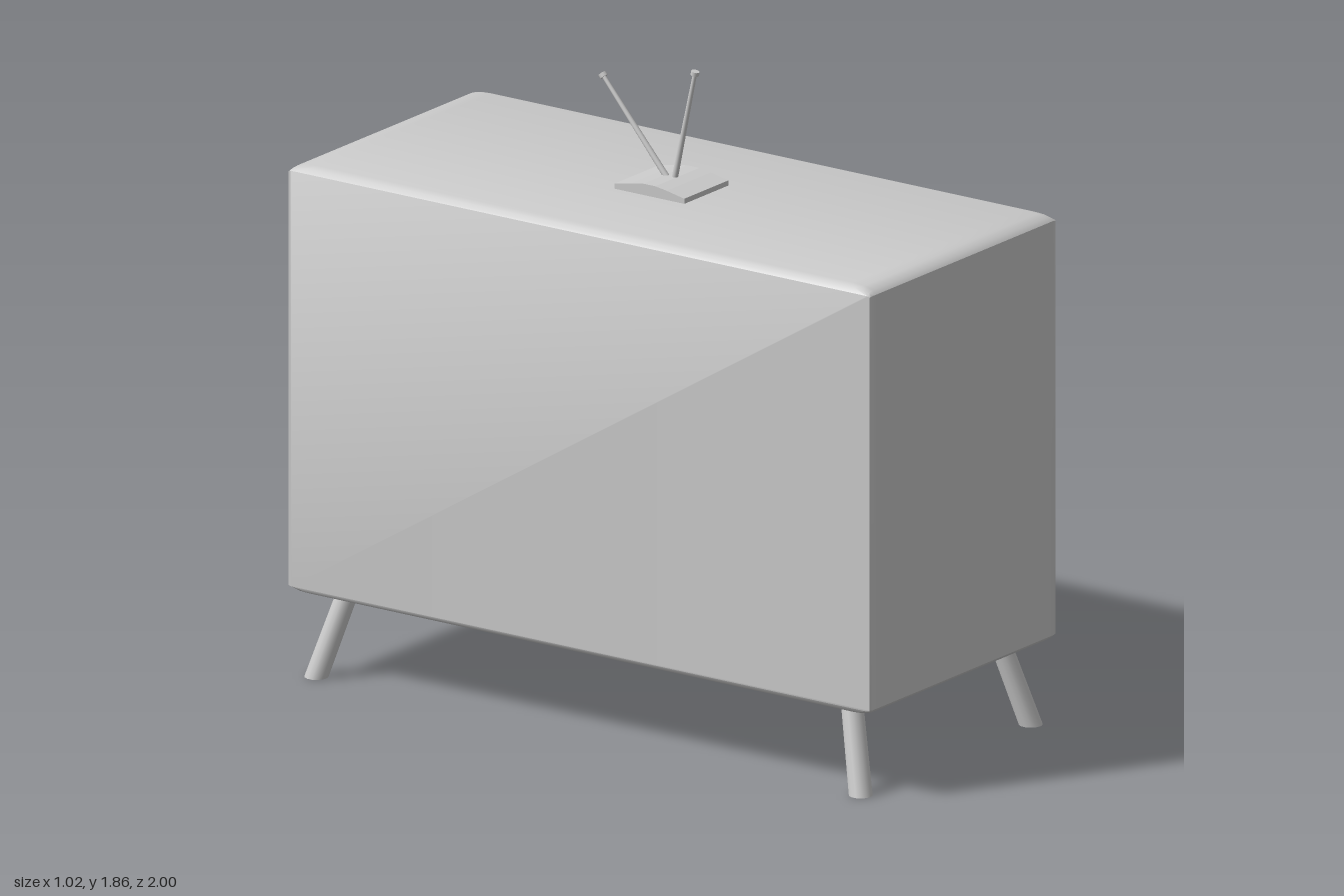
import * as THREE from 'three';
import { toCreasedNormals } from 'three/addons/utils/BufferGeometryUtils.js';

const smooth = new THREE.MeshStandardMaterial({ color: 0xcccccc });
const faceted = new THREE.MeshStandardMaterial({ color: 0xcccccc, flatShading: true });

function add(parent, name, geometry, material = smooth) {
  const mesh = new THREE.Mesh(geometry, material);
  mesh.name = name;
  parent.add(mesh);
  return mesh;
}

// Rectangular loop facing +x, with elliptical corners of size rz by ry
function ring(x, z0, z1, y0, y1, rz = 0, ry = 0) {
  const corners = [[z0, y0, 1, 1, Math.PI], [z0, y1, 1, -1, Math.PI / 2],
    [z1, y1, -1, -1, 0], [z1, y0, -1, 1, -Math.PI / 2]];
  const steps = rz ? 3 : 0, points = [];
  for (const [z, y, sz, sy, start] of corners)
    for (let i = 0; i <= steps; i++) {
      // angles sweep from one side of the corner to the other
      const a = steps ? start + Math.PI / 2 - (i / steps) * Math.PI / 2 : 0;
      const cz = z + sz * rz, cy = y + sy * ry;
      points.push(steps ? [x, cy + ry * Math.sin(a), cz + rz * Math.cos(a)] : [x, y, z]);
    }
  return points;
}

// Skin a series of equal-length loops
function loft(rings, capBack, capFront) {
  const n = rings[0].length, index = [];
  rings.slice(1).forEach((_, r) => {
    for (let i = 0; i < n; i++) {
      const a = r * n + i, b = r * n + (i + 1) % n;
      index.push(a, b, b + n, a, b + n, a + n);
    }
  });
  const last = (rings.length - 1) * n;
  for (let i = 1; i < n - 1; i++) {
    if (capBack) index.push(0, i + 1, i);
    if (capFront) index.push(last, last + i, last + i + 1);
  }
  const g = new THREE.BufferGeometry();
  g.setAttribute('position', new THREE.Float32BufferAttribute(rings.flat(2), 3));
  g.setIndex(index);
  g.computeVertexNormals();
  return g;
}

// Round rod between two points, with optional end radii
function rod(parent, name, from, to, r0, r1 = r0, sides = 10) {
  const a = new THREE.Vector3(...from), b = new THREE.Vector3(...to);
  const d = b.clone().sub(a);
  const mesh = add(parent, name, new THREE.CylinderGeometry(r1, r0, d.length(), sides));
  mesh.position.copy(a).add(b).multiplyScalar(0.5);
  mesh.quaternion.setFromUnitVectors(new THREE.Vector3(0, 1, 0), d.normalize());
  return mesh;
}

export function createModel() {
  const tv = new THREE.Group();
  tv.name = 'television';

  // Cabinet with softened top and bottom edges
  add(tv, 'cabinet', toCreasedNormals(loft([
    ring(-0.51, -1, 1, 0.265, 1.48, 0.01, 0.005),
    ring(-0.5, -1, 1, 0.252, 1.493, 0.06, 0.015),
    ring(-0.48, -1, 1, 0.245, 1.5, 0.08, 0.022),
    ring(0.345, -1, 1, 0.245, 1.5, 0.08, 0.022),
    ring(0.365, -1, 1, 0.252, 1.493, 0.06, 0.015),
    ring(0.375, -1, 1, 0.265, 1.48, 0.01, 0.005),
  ], true, false), 0.7));

  // Screen surround: outer rim, V-shaped groove and raised inner frame
  add(tv, 'screenSurround', loft([
    ring(0.375, -0.37, 1, 0.265, 1.48),
    ring(0.39, -0.32, 0.93, 0.295, 1.45),
    ring(0.32, -0.265, 0.87, 0.33, 1.41),
    ring(0.4, -0.235, 0.84, 0.357, 1.385),
    ring(0.4, -0.21, 0.82, 0.364, 1.376),
    ring(0.31, -0.2, 0.81, 0.37, 1.37),
  ], false, false), faceted);

  // Bulging faceted picture tube
  const knots = [-0.505, -0.355, -0.205, 0, 0.205, 0.355, 0.505];
  const bulge = [0, 0.74, 1, 1, 1, 0.74, 0];
  const screen = new THREE.PlaneGeometry(1, 1, 6, 6);
  for (let i = 0; i < 49; i++) {
    const c = i % 7, r = Math.floor(i / 7);
    screen.attributes.position.setXYZ(i, 0.32 + 0.18 * bulge[c] * bulge[r],
      0.87 - knots[r] * 0.99, 0.305 - knots[c]);
  }
  screen.computeVertexNormals();
  add(tv, 'screen', screen, faceted);

  // Control panel beside the screen
  const panel = new THREE.Group();
  panel.name = 'controlPanel';
  tv.add(panel);
  add(panel, 'panelFace', loft([
    ring(0.375, -1, -0.36, 0.265, 1.48),
    ring(0.376, -1, -0.43, 0.265, 1.48),
    ring(0.393, -0.93, -0.5, 0.275, 1.468),
  ], false, true), faceted);
  // Middle plate, standing out at its top edge and fading away downward
  add(panel, 'middlePlate', loft([
    ring(0.39, -0.955, -0.495, 0.46, 1.078),
    ring(0.402, -0.94, -0.515, 0.46, 1.058).map(([x, y, z]) => [y < 1 ? 0.392 : x, y, z]),
  ], false, true), faceted);
  add(panel, 'lowerPlate', loft([
    ring(0.39, -0.955, -0.495, 0.29, 0.44),
    ring(0.405, -0.935, -0.52, 0.302, 0.415),
  ], false, true), faceted);
  for (const z of [-0.555, -0.645]) {
    const button = rod(panel, 'button', [0.39, 0.345, z], [0.43, 0.345, z], 0.038, 0.038, 20);
    button.scale.z = 0.95;
  }

  // Channel dial: stepped cone, knob and pointer
  const dial = new THREE.Group();
  dial.name = 'channelDial';
  dial.position.set(0, 1.26, -0.745);
  tv.add(dial);
  const profile = [[0.153, 0.385], [0.153, 0.41], [0.085, 0.462], [0.08, 0.465], [0.08, 0.482],
    [0.045, 0.495], [0.03, 0.508], [0, 0.51]].map(p => new THREE.Vector2(...p));
  const cone = add(dial, 'dialCone', toCreasedNormals(new THREE.LatheGeometry(profile, 24), 0.5));
  cone.rotation.z = -Math.PI / 2;
  cone.scale.x = 0.9;
  for (const [y, h] of [[0.1, 0.065], [-0.08, 0.025]]) {
    const bar = add(dial, 'pointer', new THREE.BoxGeometry(0.022, h, 0.018));
    bar.position.set(0.478, y, 0);
  }

  // Splayed legs, sheared so that their ends stay level
  for (const sx of [-1, 1]) for (const sz of [-1, 1]) {
    const g = new THREE.CylinderGeometry(0.032, 0.034, 0.26, 14);
    g.applyMatrix4(new THREE.Matrix4().set(
      1, -sx * 0.22, 0, -0.06 + sx * 0.376,
      0, 1, 0, 0.13,
      0, -sz * 0.28, 1, sz * 0.9,
      0, 0, 0, 1));
    add(tv, 'leg', g);
  }

  // Antenna: arched base and two angled rods with tips
  const antenna = new THREE.Group();
  antenna.name = 'antenna';
  antenna.position.x = -0.07;
  tv.add(antenna);
  const arch = new THREE.Shape();
  arch.moveTo(-0.12, 1.503);
  for (const [z, y] of [[0.12, 1.503], [0.12, 1.518], [0.06, 1.53], [0.02, 1.536], [-0.02, 1.536],
    [-0.06, 1.53], [-0.12, 1.518]]) arch.lineTo(z, y);
  const base = new THREE.ExtrudeGeometry(arch, { depth: 0.21, bevelEnabled: false });
  base.translate(0, 0, -0.105).rotateY(-Math.PI / 2);
  add(antenna, 'antennaBase', base, faceted);
  for (const [z0, y1, z1] of [[0.01, 1.845, 0.08], [-0.012, 1.783, -0.232]]) {
    const a = new THREE.Vector3(0, 1.525, z0), b = new THREE.Vector3(0, y1, z1);
    const tip = b.clone().sub(a).setLength(0.012).add(b);
    rod(antenna, 'antennaRod', a.toArray(), b.toArray(), 0.009, 0.006);
    rod(antenna, 'antennaTip', b.toArray(), tip.toArray(), 0.012);
  }
  return tv;
}
